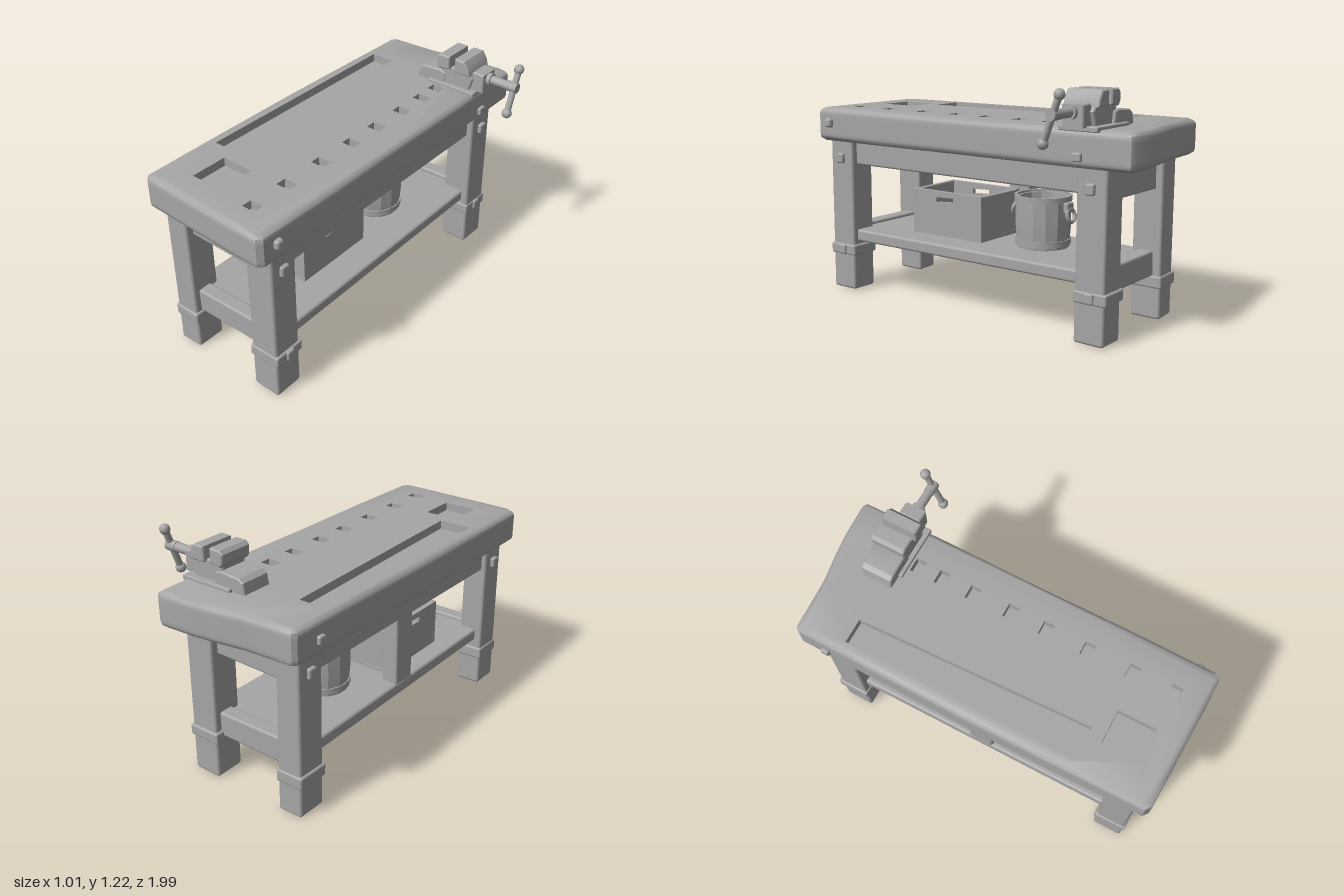
import * as THREE from 'three';
import { toCreasedNormals } from 'three/addons/utils/BufferGeometryUtils.js';
import { RoundedBoxGeometry } from 'three/addons/geometries/RoundedBoxGeometry.js';

const grey = new THREE.MeshStandardMaterial({ color: 0xa6a6a6 });
grey.name = 'plain grey';
grey.side = THREE.DoubleSide;

function add(parent, name, geometry) {
  const mesh = new THREE.Mesh(geometry, grey);
  mesh.name = name;
  parent.add(mesh);
  return mesh;
}

// Slight hand-hewn unevenness
function wear(geometry, amount) {
  const p = geometry.attributes.position;
  for (let i = 0; i < p.count; i++) {
    const x = p.getX(i), y = p.getY(i), z = p.getZ(i);
    p.setXYZ(i,
      x + amount * Math.sin(9 * y + 5 * z),
      y + amount * Math.sin(8 * z + 6 * x),
      z + amount * Math.sin(10 * y + 7 * x));
  }
  return geometry;
}

// Worn block given by its limits on each axis
function block(parent, name, [x0, x1], [y0, y1], [z0, z1], radius = 0.012, amount = 0.003) {
  const g = new RoundedBoxGeometry(x1 - x0, y1 - y0, z1 - z0, 2, radius);
  g.translate((x0 + x1) / 2, (y0 + y1) / 2, (z0 + z1) / 2);
  return add(parent, name, wear(g, amount));
}

// Closed outline on the ground plane from [x, z] pairs
function outline(points, PathType) {
  return new PathType(points.map(([x, z]) => new THREE.Vector2(x, -z)));
}

function rectangle(x0, x1, z0, z1) {
  return outline([[x0, z0], [x1, z0], [x1, z1], [x0, z1]], THREE.Path);
}

function tabletop(bench) {
  const edge = outline([
    [-0.47, -0.94], [-0.35, -0.945], [-0.2, -0.953], [-0.05, -0.978], [0.08, -0.993], [0.25, -1],
    [0.274, -0.985], [0.278, -0.5], [0.274, 0], [0.278, 0.5], [0.274, 0.965], [0.25, 0.99],
    [0.1, 0.99], [-0.1, 0.982], [-0.3, 0.975], [-0.46, 0.968], [-0.486, 0.945],
    [-0.493, 0.5], [-0.497, 0], [-0.493, -0.5], [-0.488, -0.92],
  ], THREE.Shape);
  // Tool trough, square tray and a row of dog holes
  edge.holes.push(outline([[-0.43, -0.68], [-0.3, -0.68], [-0.253, 0.56], [-0.43, 0.56]], THREE.Path));
  edge.holes.push(rectangle(-0.3, -0.12, 0.63, 0.83));
  for (const z of [-0.57, -0.435, -0.26, -0.05, 0.145, 0.37, 0.61, 0.83]) {
    edge.holes.push(rectangle(0.045, 0.12, z - 0.028, z + 0.028));
  }
  const g = new THREE.ExtrudeGeometry(edge, { depth: 0.18, steps: 12, bevelEnabled: false });
  g.rotateX(-Math.PI / 2);
  // Round the outer rim only
  const p = g.attributes.position, r = 0.032;
  for (let i = 0; i < p.count; i++) {
    const x = p.getX(i), y = p.getY(i), z = p.getZ(i);
    const t = Math.max(0, 1 - Math.min(y, 0.18 - y) / r);
    const pull = r * 0.7 * (1 - Math.sqrt(Math.max(0, 1 - t * t)));
    if (x < -0.46 || x > 0.24) p.setX(i, x - pull * Math.sign(x));
    if (Math.abs(z) > 0.9) p.setZ(i, z - pull * Math.sign(z));
  }
  g.translate(0, 0.84, 0);
  add(bench, 'tabletop', toCreasedNormals(g, 0.7));
  block(bench, 'recessFloor', [-0.455, 0.24], [0.842, 0.975], [-0.9, 0.93], 0.005, 0);
}

function frame(bench) {
  for (const [side, x] of [['left', [0.095, 0.252]], ['right', [-0.435, -0.3]]]) {
    const right = side === 'right';
    for (const [end, z] of [['front', [0.75, 0.91]], ['back', [-0.855, -0.692]]]) {
      block(bench, `${end}${side}Leg`, x, [0.002, 0.86], z, 0.014);
      const bandY = right ? [0.165, 0.23] : [0.2, 0.26];
      block(bench, `${end}${side}LegBand`, [x[0] - 0.009, x[1] + 0.009], bandY, [z[0] - 0.009, z[1] + 0.009], 0.01);
      // Bolt heads on the outer leg faces
      const outX = right ? -0.442 : 0.258, zc = (z[0] + z[1]) / 2;
      for (const y of right ? [0.745] : [0.745, 0.23]) {
        block(bench, 'legBolt', [outX - 0.014, outX + 0.014], [y - 0.028, y + 0.028], [zc - 0.025, zc + 0.025], 0.01);
      }
    }
    // Long rail under the top
    const railX = right ? [-0.41, -0.33] : [0.125, 0.215];
    block(bench, `${side}TopRail`, railX, [0.71, 0.86], [-0.72, 0.78]);
  }
  // Short rails across each end
  for (const [end, z] of [['front', [0.79, 0.87]], ['back', [-0.815, -0.735]]]) {
    block(bench, `${end}TopRail`, [-0.33, 0.12], [end === 'front' ? 0.7 : 0.675, 0.86], z);
    block(bench, `${end}LowerRail`, [-0.33, 0.12], [0.228, 0.36], z);
  }
  block(bench, 'shelf', [-0.4, 0.215], [0.275, 0.342], [-0.74, 0.8], 0.014, 0.004);
  block(bench, 'middlePost', [-0.4, -0.31], [0.33, 0.86], [-0.048, 0.09]);
  // Bolts on the edges of the top
  block(bench, 'topBolt', [0.265, 0.3], [0.915, 0.965], [0.865, 0.91], 0.014);
  block(bench, 'topBolt', [0.265, 0.297], [0.87, 0.912], [-0.735, -0.685], 0.008);
  block(bench, 'topBolt', [-0.506, -0.48], [0.9, 0.945], [-0.795, -0.75], 0.01);
}

function crate(bench) {
  const c = new THREE.Group();
  c.name = 'crate';
  bench.add(c);
  const y = [0.345, 0.588], z = [0.01, 0.48], x = [-0.295, 0.05], t = 0.025;
  block(c, 'crateFloor', x, [0.335, 0.365], z, 0.005, 0);
  for (const [a, b] of [[z[0], z[0] + t], [z[1] - t, z[1]]]) block(c, 'crateEnd', x, y, [a, b], 0.006, 0.002);
  // Long sides with a hand slot
  for (const x0 of [x[0], x[1] - t]) {
    const s = new THREE.Shape([[-0.48, 0.345], [-0.01, 0.345], [-0.01, 0.588], [-0.48, 0.588]].map(q => new THREE.Vector2(...q)));
    s.holes.push(new THREE.Path([[-0.315, 0.527], [-0.2, 0.535], [-0.2, 0.56], [-0.315, 0.555]].map(q => new THREE.Vector2(...q))));
    const g = new THREE.ExtrudeGeometry(s, { depth: t, bevelEnabled: false });
    g.rotateY(Math.PI / 2).translate(x0, 0, 0);
    add(c, 'crateSide', g);
  }
}

function bucket(bench) {
  const b = new THREE.Group();
  b.name = 'bucket';
  b.position.set(-0.1, 0.342, -0.28);
  bench.add(b);
  const profile = [[0, 0.005], [0.137, 0.005], [0.146, 0.13], [0.143, 0.265], [0.125, 0.265], [0.12, 0.05], [0, 0.05]];
  const wall = new THREE.LatheGeometry(profile.map(q => new THREE.Vector2(...q)), 14);
  add(b, 'bucketStaves', toCreasedNormals(wall, 0.3));
  // Hoops
  for (const [y, r, h] of [[0.262, 0.15, 0.03], [0.035, 0.145, 0.03]]) {
    const hoop = [[r - 0.015, -h / 2], [r, -h / 2], [r, h / 2], [r - 0.015, h / 2], [r - 0.015, -h / 2]];
    const g = new THREE.LatheGeometry(hoop.map(q => new THREE.Vector2(...q)), 20);
    add(b, 'bucketHoop', toCreasedNormals(g, 0.6)).position.y = y;
  }
  // Ears with ring handles
  for (const s of [-1, 1]) {
    block(b, 'bucketEar', [-0.03, 0.03], [0.195, 0.25], [s * 0.153 - 0.014, s * 0.153 + 0.014], 0.008, 0);
    const ring = add(b, 'bucketRing', new THREE.TorusGeometry(0.035, 0.01, 6, 14));
    ring.position.set(0, 0.185, s * 0.168);
    ring.rotation.x = -s * 0.25;
  }
}

function vise(bench) {
  const v = new THREE.Group();
  v.name = 'vise';
  bench.add(v);
  block(v, 'viseBase', [-0.01, 0.285], [1.01, 1.036], [-0.82, -0.61], 0.006, 0);
  // Profiles across the front, extruded through the depth
  const slab = (name, points, z0, z1) => {
    const s = new THREE.Shape(points.map(q => new THREE.Vector2(...q)));
    const g = new THREE.ExtrudeGeometry(s, { depth: z1 - z0 - 0.012, bevelThickness: 0.006, bevelSize: 0.006, bevelOffset: -0.006, bevelSegments: 1 });
    add(v, name, toCreasedNormals(g.translate(0, 0, z0 + 0.006), 0.5));
  };
  slab('viseTail', [[-0.085, 1.01], [0.1, 1.01], [0.09, 1.09], [0.06, 1.1], [-0.05, 1.092], [-0.075, 1.075]], -0.8, -0.63);
  slab('viseBody', [[0.07, 1.03], [0.24, 1.03], [0.26, 1.1], [0.235, 1.135], [0.055, 1.13]], -0.785, -0.635);
  slab('rearJaw', [[0.06, 1.115], [0.125, 1.125], [0.122, 1.197], [0.06, 1.197], [0.043, 1.18], [0.045, 1.135]], -0.8, -0.615);
  slab('frontJaw', [[0.155, 1.12], [0.25, 1.12], [0.24, 1.16], [0.215, 1.197], [0.157, 1.197]], -0.805, -0.615);
  slab('screwHousing', [[0.2, 1.03], [0.318, 1.03], [0.318, 1.135], [0.255, 1.14], [0.22, 1.1]], -0.765, -0.65);
  // Screw and collars along x
  for (const [name, a, b, r] of [['screw', 0.3, 0.45, 0.024], ['screwCollar', 0.31, 0.34, 0.034], ['screwHead', 0.43, 0.492, 0.027]]) {
    const g = new THREE.CylinderGeometry(r, r, b - a, 12).rotateZ(Math.PI / 2);
    add(v, name, g).position.set((a + b) / 2, 1.1, -0.705);
  }
  // Tilted turning bar with knobs
  const bar = new THREE.Group();
  bar.name = 'turningBar';
  bar.position.set(0.472, 1.08, -0.697);
  bar.rotation.x = -0.36;
  v.add(bar);
  add(bar, 'barRod', new THREE.CylinderGeometry(0.017, 0.017, 0.25, 10));
  for (const s of [-1, 1]) add(bar, 'barKnob', new THREE.SphereGeometry(0.027, 10, 7)).position.y = s * 0.118;
}

export function createModel() {
  const bench = new THREE.Group();
  bench.name = 'workbench';
  for (const build of [tabletop, frame, crate, bucket, vise]) build(bench);
  return bench;
}
